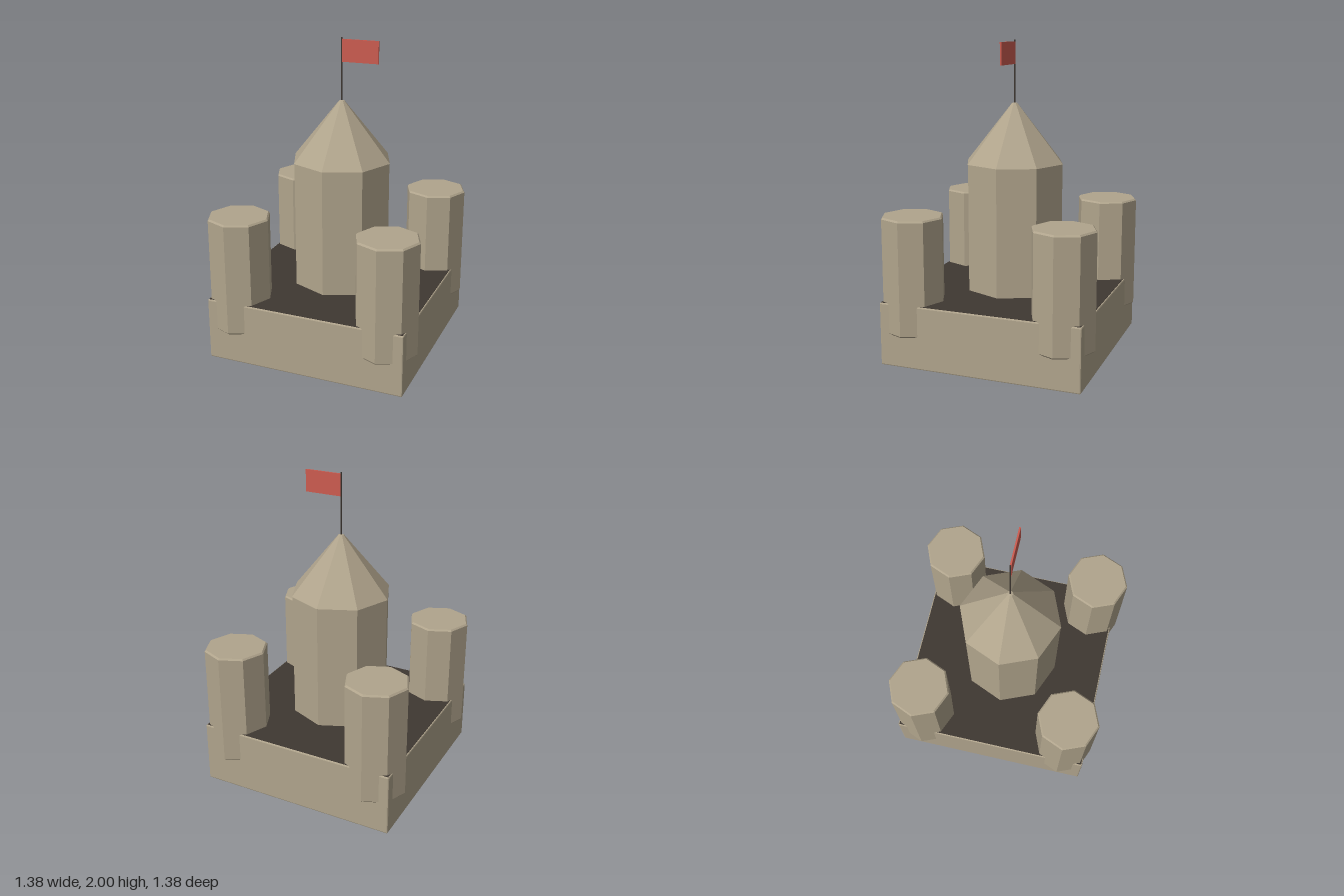
import * as THREE from 'three';
import { RoundedBoxGeometry } from 'three/addons/geometries/RoundedBoxGeometry.js';

const makeMaterial = (name, color) => {
  const m = new THREE.MeshStandardMaterial({ color, flatShading: true });
  m.name = name;
  return m;
};

export function createModel() {
  const castle = new THREE.Group();
  castle.name = 'castle';
  const stone = makeMaterial('stone', 0xb0a48c);
  const dark = makeMaterial('dark courtyard', 0x3f3832);
  const red = makeMaterial('flag red', 0xcc5c50);

  const add = (name, geometry, material, x = 0, y = 0, z = 0) => {
    const mesh = new THREE.Mesh(geometry, material);
    mesh.name = name;
    mesh.position.set(x, y, z);
    castle.add(mesh);
    return mesh;
  };
  // eight-sided solid turned from [radius, height] pairs, bottom to top
  const octagon = (profile) =>
    new THREE.LatheGeometry(profile.map(([r, y]) => new THREE.Vector2(r, y)), 8);

  // square base with a dark courtyard inset on top
  add('baseWall', new RoundedBoxGeometry(1.3, 0.405, 1.3, 1, 0.008), stone, 0, 0.2025, 0);
  add('courtyard', new THREE.BoxGeometry(1.285, 0.004, 1.285), dark, 0, 0.405, 0);

  // corner towers with chamfered rims, bulging through the walls
  const tower = octagon([[0, 0.205], [0.19, 0.205], [0.2, 0.215], [0.2, 0.93], [0.19, 0.94], [0, 0.94]]);
  for (const x of [-1, 1]) {
    for (const z of [-1, 1]) {
      add(`${z > 0 ? 'front' : 'back'}${x > 0 ? 'Left' : 'Right'}Tower`, tower, stone, x * 0.49, 0, z * 0.49);
    }
  }

  // central keep and its pointed roof
  add('keep', octagon([[0, 0.3], [0.322, 0.3], [0.322, 1.228]]), stone);
  add('keepRoof', octagon([[0.325, 1.228], [0.018, 1.605], [0, 1.61]]), stone);

  // flagpole and flag
  add('flagpole', new THREE.CylinderGeometry(0.005, 0.005, 0.42, 8), dark, 0, 1.79, 0);
  add('flag', new THREE.BoxGeometry(0.24, 0.14, 0.01), red, 0.122, 1.92, 0);

  return castle;
}
